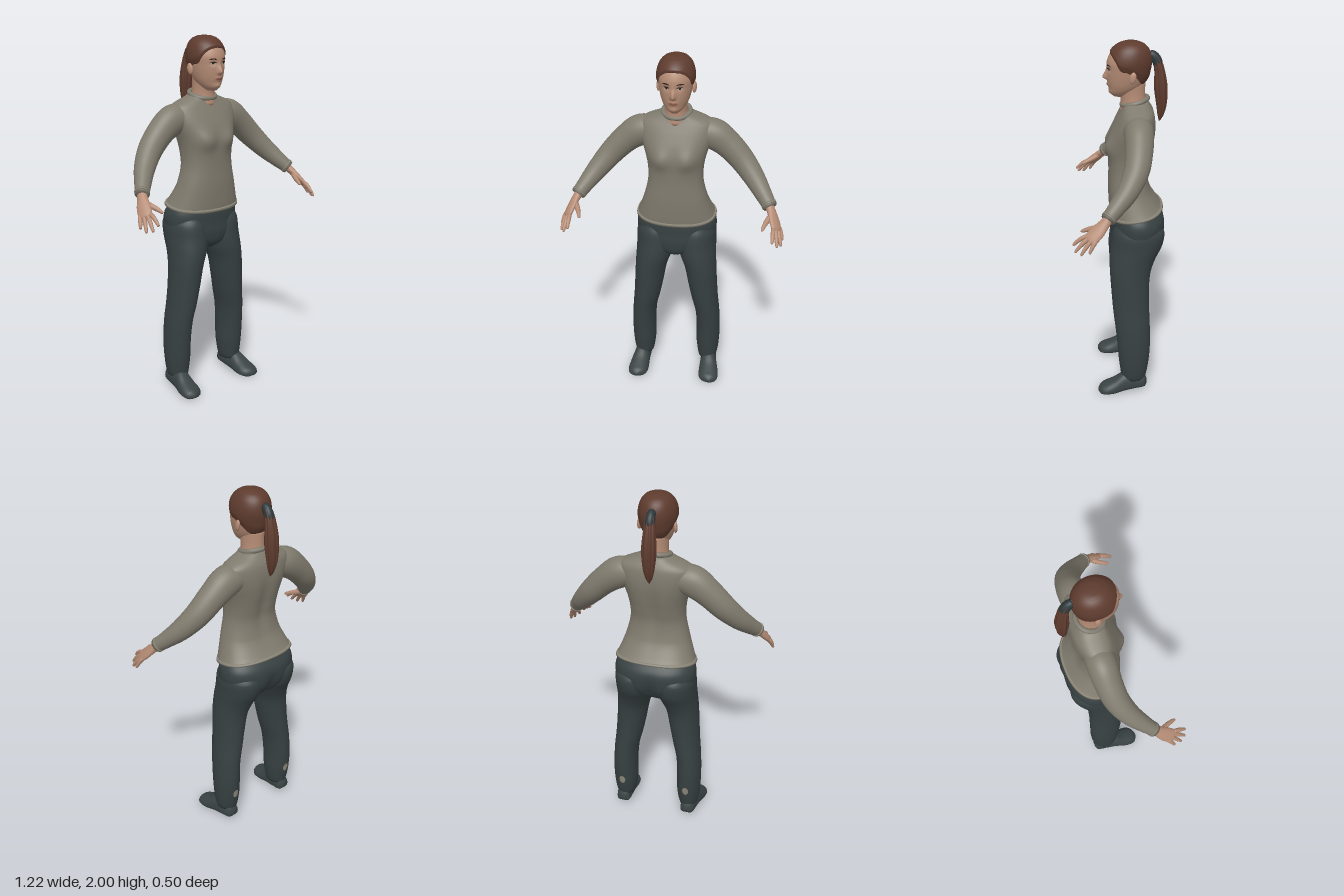
import * as THREE from 'three';

const mat = (name, color) => Object.assign(new THREE.MeshStandardMaterial({ color }), { name });
const V = (x, y, z) => new THREE.Vector3(x, y, z);
const bump = (d, r) => Math.exp(-((d / r) ** 2));
const TAU = Math.PI * 2;

// Smooth interpolation of rows keyed by their first column
function at(keys, s) {
  const n = keys.length - 1;
  let i = 0;
  while (i < n - 1 && s > keys[i + 1][0]) i++;
  const a = keys[i], b = keys[i + 1], p = keys[Math.max(i - 1, 0)], q = keys[Math.min(i + 2, n)];
  const h = b[0] - a[0], t = Math.min(Math.max((s - a[0]) / h, 0), 1), u = t * t * (3 - 2 * t);
  return a.map((v, c) => {
    const m0 = (b[c] - p[c]) / (b[0] - p[0]) * h, m1 = (q[c] - v) / (q[0] - a[0]) * h;
    return v * (1 - u) + b[c] * u + m0 * t * (1 - t) ** 2 - m1 * t * t * (1 - t);
  });
}

// Joins closed rings into a smooth capped skin that faces outward
function loft(rings) {
  const n = rings[0].length, pts = rings.flat(), idx = [];
  for (let i = 0; i < rings.length - 1; i++)
    for (let j = 0; j < n; j++) {
      const a = i * n + j, b = i * n + (j + 1) % n;
      idx.push(a, b, a + n, b, b + n, a + n);
    }
  [0, rings.length - 1].forEach((r, end) => {
    const mid = V(0, 0, 0);
    rings[r].forEach(p => mid.addScaledVector(p, 1 / n));
    const c = pts.push(mid) - 1;
    for (let j = 0; j < n; j++) {
      const a = r * n + j, b = r * n + (j + 1) % n;
      end ? idx.push(a, b, c) : idx.push(b, a, c);
    }
  });
  let vol = 0;
  for (let i = 0; i < idx.length; i += 3)
    vol += pts[idx[i]].dot(V(0, 0, 0).crossVectors(pts[idx[i + 1]], pts[idx[i + 2]]));
  if (vol < 0) idx.reverse();
  const g = new THREE.BufferGeometry().setFromPoints(pts);
  g.setIndex(idx);
  g.computeVertexNormals();
  return g;
}

const rows = (n, m, f) => Array.from({ length: n + 1 }, (_, i) =>
  Array.from({ length: m }, (_, j) => f(i / n, j / m * TAU)));

// Point on an upright form; rows are [y, xMin, xMax, zFront, zBack]
function upright(keys, e = 1, shape = null) {
  const pw = v => Math.sign(v) * Math.abs(v) ** e;
  return (y, a, grow = 0) => {
    const [, x0, x1, zf, zb] = at(keys, y);
    const p = V((x0 + x1) / 2 + ((x1 - x0) / 2 + grow) * pw(Math.cos(a)), y,
      (zf + zb) / 2 + ((zf - zb) / 2 + grow) * pw(Math.sin(a)));
    if (shape) shape(p, Math.sin(a));
    return p;
  };
}
const skin = (f, y0, y1, n, m, grow = 0) => loft(rows(n, m, (t, a) => f(y0 + (y1 - y0) * t, a, grow)));

// Limb along a path; rows are [x, y, z, thickness, breadth], breadth lies along ref
function limb(path, ref, n = 24, m = 24, side = 1, ridge = 0) {
  const keys = path.map((p, i) => [i, ...p]), last = path.length - 1;
  const pos = s => V(...at(keys, s).slice(1, 4));
  return loft(rows(n, m, (t, a) => {
    const s = t * last, k = at(keys, s), r = 1 + ridge * Math.cos(9 * a);
    const T = pos(Math.min(s + 0.05, last)).sub(pos(Math.max(s - 0.05, 0))).normalize();
    const B = ref.clone().addScaledVector(T, -ref.dot(T)).normalize(), N = T.clone().cross(B);
    const p = pos(s).addScaledVector(N, k[4] * r * Math.cos(a)).addScaledVector(B, k[5] * r * Math.sin(a));
    p.x *= side;
    return p;
  }));
}

// Thin oval lying on a surface given as z(x, y)
function patch(zAt, cx, cy, rx, ry, lift, bend = 0, dir = 1) {
  const g = new THREE.RingGeometry(0.01, 1, 24, 3), p = g.attributes.position;
  for (let i = 0; i < p.count; i++) {
    const x = cx + dir * rx * p.getX(i), y = cy + ry * p.getY(i) - bend * p.getX(i) ** 2;
    p.setXYZ(i, x, y, zAt(x, y) + dir * lift);
  }
  g.computeVertexNormals();
  return g;
}

export function createModel() {
  const root = new THREE.Group();
  root.name = 'standingWoman';
  const M = {
    skin: mat('skin', 0xb58c75), hair: mat('hair', 0x5e3b2e), shirt: mat('shirt', 0x807b6e),
    trim: mat('shirtTrim', 0x8b8678), pants: mat('trousers', 0x374041), shoe: mat('shoe', 0x3a4344),
    band: mat('hairBand', 0x2c383b), dark: mat('browAndIris', 0x35261f),
    white: mat('eyeWhite', 0xb9aca0), lips: mat('lips', 0x94604f),
  };
  const add = (name, geo, m) => {
    const mesh = new THREE.Mesh(geo, m);
    mesh.name = name;
    root.add(mesh);
    return mesh;
  };
  const sym = keys => keys.map(([y, w, f, b]) => [y, -w, w, f, b]);

  // Shirt body with bust, spine groove and a hem that rises at the back
  const torso = upright(sym([
    [1.05, .222, .056, -.236], [1.1, .205, .06, -.21], [1.2, .175, .064, -.168], [1.3, .152, .062, -.152],
    [1.38, .152, .063, -.165], [1.45, .165, .064, -.18], [1.52, .187, .05, -.19], [1.58, .203, .025, -.19],
    [1.63, .195, 0, -.182], [1.655, .15, -.012, -.17], [1.675, .095, -.018, -.158], [1.69, .072, -.022, -.15],
  ]), 0.86, (p, s) => {
    if (s > 0) p.z += 0.024 * s * bump(Math.abs(p.x) - 0.08, 0.055) * bump(p.y - 1.45, 0.055);
    else p.z -= 0.014 * s * bump(p.x, 0.035) * bump(p.y - 1.4, 0.17);
    p.y += 0.16 * (0.056 - p.z) * Math.max(0, 1 - (p.y - 1.05) / 0.15);
  });
  add('shirtBody', skin(torso, 1.05, 1.69, 56, 72), M.shirt);
  add('shirtHem', skin(torso, 1.048, 1.066, 2, 72, 0.004), M.trim);
  const collar = new THREE.CatmullRomCurve3(Array.from({ length: 16 }, (_, i) => {
    const a = i / 16 * TAU;
    return V(0.072 * Math.cos(a), 1.685 - 0.018 * Math.sin(a), -0.08 + 0.068 * Math.sin(a));
  }), true);
  add('collar', new THREE.TubeGeometry(collar, 48, 0.013, 10, true), M.shirt);

  // Trouser seat
  const seat = upright(sym([
    [.83, .03, .0, -.1], [.86, .12, .035, -.19], [.92, .21, .048, -.238], [.98, .226, .045, -.25],
    [1.04, .222, .042, -.242], [1.09, .195, .03, -.205],
  ]), 0.9, (p, s) => { if (s < 0) p.z -= 0.02 * s * bump(p.x, 0.03) * bump(p.y - 0.92, 0.07); });
  add('trouserSeat', skin(seat, 0.83, 1.09, 24, 64), M.pants);

  // Head surface: nose, eye sockets, lips and chin
  const headKeys = sym([
    [1.712, .022, .03, -.04], [1.73, .045, .048, -.07], [1.76, .066, .057, -.11], [1.8, .08, .065, -.14],
    [1.85, .09, .067, -.155], [1.9, .094, .066, -.16], [1.95, .08, .042, -.147], [1.98, .054, .005, -.118],
    [1.992, .025, -.03, -.085],
  ]);
  const head = upright(headKeys, 1, (p, s) => {
    if (s <= 0) return;
    const x = Math.abs(p.x), y = p.y;
    p.z += s * (0.024 * bump(x, 0.012) * bump(y - 1.814, y > 1.814 ? 0.032 : 0.011)
      - 0.007 * bump(x - 0.034, 0.017) * bump(y - 1.858, 0.013)
      + 0.006 * bump(x, 0.022) * bump(y - 1.778, 0.012) + 0.007 * bump(x, 0.025) * bump(y - 1.738, 0.015));
  });
  add('head', skin(head, 1.712, 1.992, 80, 110), M.skin);
  add('neck', skin(upright(sym([[1.63, .07, .0, -.15], [1.69, .06, -.005, -.138], [1.73, .058, .0, -.135],
    [1.79, .06, .01, -.135]])), 1.63, 1.79, 12, 32), M.skin);
  const faceZ = (x, y) => {
    const w = at(headKeys, y)[2];
    return head(y, Math.acos(Math.min(Math.abs(x) / w, 1))).z;
  };
  add('mouth', patch(faceZ, 0, 1.778, 0.023, 0.007, 0.002), M.lips);

  // Hair cap, ending along a hairline that drops from brow to nape
  const hairline = [[0, 1.94], [.5, 1.932], [.9, 1.905], [1.2, 1.862], [1.5, 1.853], [1.9, 1.83], [2.4, 1.79], [3.15, 1.77]];
  add('hairCap', loft(rows(36, 96, (t, a) => {
    const turn = Math.acos(Math.min(Math.max(Math.sin(a), -1), 1)), y0 = at(hairline, turn)[1];
    const p = head(y0 + (1.992 - y0) * t, a, 0.001 + 0.007 * Math.min(1, t * 5));
    p.y += 0.008 * t;
    return p;
  })), M.hair);
  add('ponytail', limb([[0, 1.93, -.15, .02, .02], [0, 1.915, -.187, .022, .022], [0, 1.85, -.208, .026, .03],
    [0, 1.76, -.217, .034, .037], [0, 1.67, -.222, .027, .03], [0, 1.61, -.218, .016, .018],
    [0, 1.575, -.212, .003, .003]], V(1, 0, 0), 40, 72, 1, 0.07), M.hair);
  add('hairBand', limb([[0, 1.93, -.155, .024, .02], [0, 1.922, -.175, .027, .023], [0, 1.9, -.193, .027, .025],
    [0, 1.88, -.2, .025, .024]], V(1, 0, 0), 10, 24), M.band);

  const legKeys = [
    [.08, .142, .25, -.005, -.14], [.12, .134, .258, .0, -.15], [.2, .126, .265, .01, -.162],
    [.3, .126, .266, .018, -.168], [.42, .118, .26, .03, -.166], [.52, .095, .25, .042, -.162],
    [.62, .075, .243, .05, -.16], [.74, .052, .236, .058, -.168], [.82, .022, .231, .06, -.195],
    [.9, -.002, .228, .052, -.234], [.98, .005, .224, .04, -.242], [1.02, .03, .2, .02, -.21],
  ];
  const fan = V(.05, -.02, -.085);
  const tips = [[.548, 1.105, .25], [.575, 1.078, .24], [.595, 1.07, .21], [.602, 1.082, .168]];

  for (const side of [1, -1]) {
    const tag = side > 0 ? 'left' : 'right';
    const flip = p => { p.x *= side; return p; };

    // Eyes, brows and ears
    add(tag + 'EyeWhite', patch(faceZ, side * .035, 1.858, .014, .006, .002), M.white);
    add(tag + 'Iris', patch(faceZ, side * .035, 1.859, .006, .006, .004), M.dark);
    add(tag + 'UpperLid', patch(faceZ, side * .035, 1.866, .017, .003, .004, .004), M.dark);
    add(tag + 'Brow', patch(faceZ, side * .037, 1.883, .02, .0035, .002, .005), M.dark);
    const ear = add(tag + 'Ear', new THREE.SphereGeometry(1, 20, 14), M.skin);
    ear.scale.set(.011, .031, .018);
    ear.position.set(side * .094, 1.828, -.065);
    ear.rotation.set(-.2, side * -.3, 0);

    // Sleeve and cuff
    add(tag + 'Sleeve', limb([[.12, 1.572, -.09, .072, .075], [.2, 1.556, -.093, .085, .078],
      [.28, 1.5, -.09, .075, .072], [.36, 1.42, -.073, .067, .066], [.43, 1.34, -.028, .057, .056],
      [.485, 1.275, .03, .046, .044], [.525, 1.228, .078, .037, .035]], V(0, 0, 1), 48, 32, side), M.shirt);
    add(tag + 'Cuff', limb([[.514, 1.241, .064, .042, .04], [.521, 1.233, .073, .041, .039]],
      V(0, 0, 1), 2, 32, side), M.trim);

    // Hand: palm, four fingers, thumb
    add(tag + 'Palm', limb([[.512, 1.243, .06, .026, .026], [.53, 1.215, .088, .021, .028],
      [.55, 1.178, .125, .018, .038], [.566, 1.143, .162, .014, .038], [.57, 1.134, .171, .006, .03]],
      fan, 20, 24, side), M.skin);
    tips.forEach((tip, i) => {
      const k = V(.563, 1.15, .155).addScaledVector(fan, (i - 1.5) * .19), e = V(...tip);
      const along = (t, r, lift = 0) => { const p = k.clone().lerp(e, t); return [p.x, p.y + lift, p.z, r, r]; };
      add(tag + 'Finger' + (i + 1), limb([along(0, .011), along(.4, .0115, .006), along(.75, .0095, .004),
        along(.95, .007), along(1, .002)], fan, 14, 12, side), M.skin);
    });
    add(tag + 'Thumb', limb([[.535, 1.2, .105, .014, .016], [.515, 1.182, .142, .014, .015],
      [.5, 1.168, .178, .011, .012], [.492, 1.157, .203, .008, .008], [.49, 1.154, .21, .002, .002]],
      fan, 14, 12, side), M.skin);

    // Trouser leg with a small calf patch
    const leg = upright(legKeys);
    add(tag + 'TrouserLeg', skin((y, a) => flip(leg(y, a)), .08, 1.02, 60, 40), M.pants);
    const backZ = (x, y) => {
      const [, x0, x1] = at(legKeys, y);
      return leg(y, -Math.acos((x * side - (x0 + x1) / 2) / ((x1 - x0) / 2))).z;
    };
    add(tag + 'CalfPatch', patch(backZ, side * .195, .21, .018, .028, .002, 0, -1), M.trim);

    // Shoe, lofted heel to toe; rows are [z, centre x, half width, bottom, top]
    const shoe = [[-.15, .2, .015, .04, .07], [-.142, .2, .036, .03, .1], [-.08, .203, .046, .02, .12],
      [-.02, .208, .05, .01, .118], [.04, .214, .058, 0, .08], [.085, .217, .058, 0, .058],
      [.115, .22, .042, 0, .044], [.13, .222, .012, .008, .026]];
    add(tag + 'Shoe', loft(rows(32, 32, (t, a) => {
      const [z, cx, w, lo, hi] = at(shoe, -.15 + .28 * t), c = Math.cos(a), s = Math.sin(a);
      const x = Math.sign(c) * Math.abs(c) ** (s < 0 ? .4 : .9);
      return flip(V(cx + w * x, Math.max(0, lo + (hi - lo) * (s < 0 ? .3 + .3 * s : .3 + .7 * s)), z));
    })), M.shoe);
  }
  return root;
}
